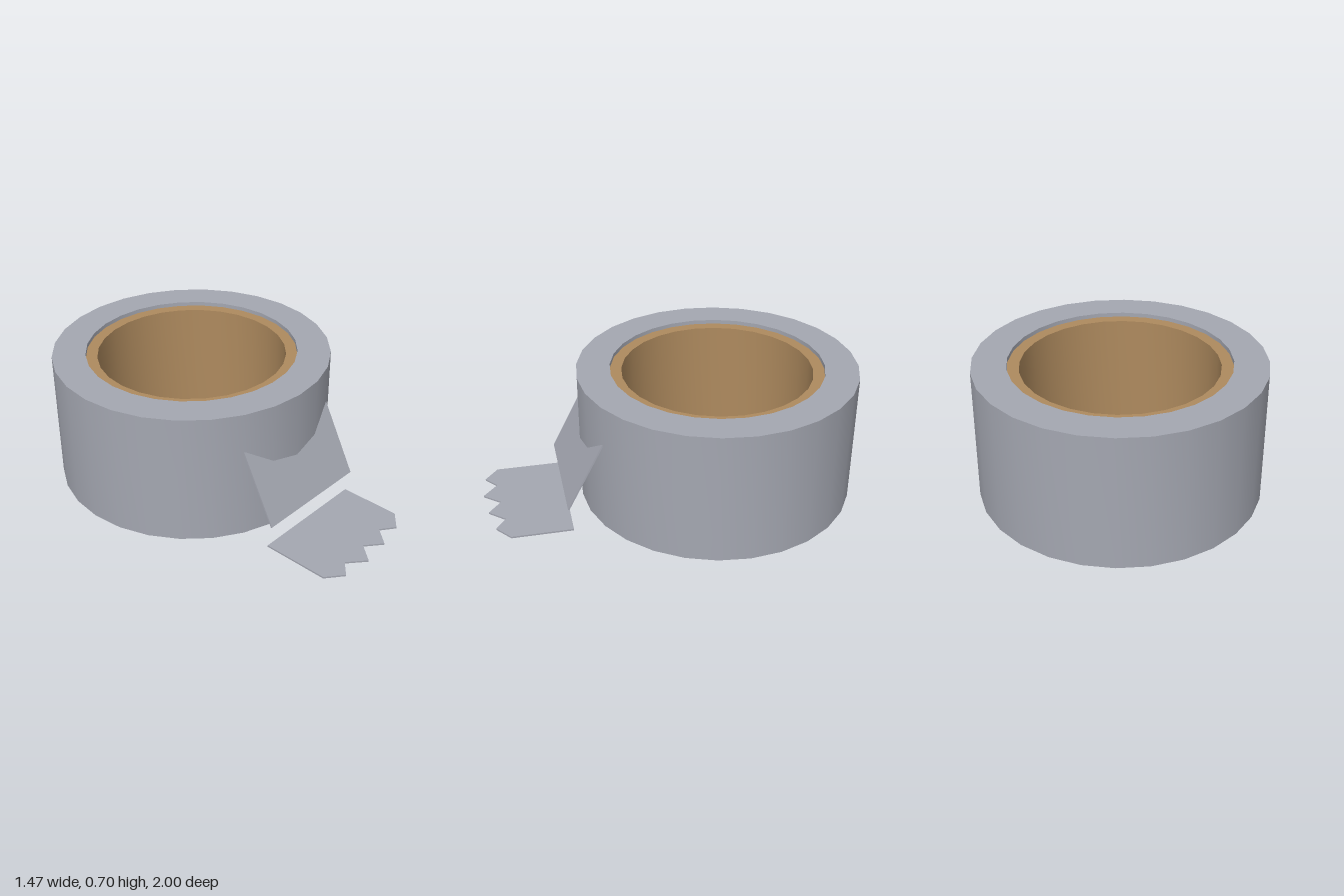
import * as THREE from 'three';
import { toCreasedNormals } from 'three/addons/utils/BufferGeometryUtils.js';

const SEGMENTS = 28;
const ROLL_Z = -0.265;

// Closed ring with a rectangular section, smooth around and sharp at the rims
function ring(name, inner, outer, y0, y1, material) {
  const profile = [[outer, y0], [outer, y1], [inner, y1], [inner, y0], [outer, y0]]
    .map(([x, y]) => new THREE.Vector2(x, y));
  const geometry = toCreasedNormals(new THREE.LatheGeometry(profile, SEGMENTS), 0.6);
  const mesh = new THREE.Mesh(geometry, material);
  mesh.name = name;
  mesh.position.z = ROLL_Z;
  return mesh;
}

export function createModel() {
  const tape = new THREE.MeshStandardMaterial({ color: 0xa4a7b1 });
  tape.name = 'tape grey';
  const cardboard = new THREE.MeshStandardMaterial({ color: 0xae8a5e });
  cardboard.name = 'cardboard brown';

  const model = new THREE.Group();
  model.name = 'tapeRoll';

  // Wound tape and the slightly recessed cardboard core
  model.add(ring('woundTape', 0.56, 0.735, 0, 0.705, tape));
  model.add(ring('cardboardCore', 0.5, 0.561, 0.022, 0.683, cardboard));

  // Loose flap leaning out from the roll
  const top = new THREE.Vector2(0.394, 0.492); // z, y
  const bottom = new THREE.Vector2(0.581, 0.132);
  const flap = new THREE.Mesh(
    new THREE.BoxGeometry(0.645, top.distanceTo(bottom), 0.008), tape);
  flap.name = 'looseFlap';
  flap.position.set(0, (top.y + bottom.y) / 2, (top.x + bottom.x) / 2);
  flap.rotation.x = Math.atan2(top.x - bottom.x, top.y - bottom.y);
  model.add(flap);

  // Torn strip lying flat, with a jagged front edge (x, z)
  const outline = [
    [-0.322, 0.56], [-0.322, 0.91], [-0.235, 0.98], [-0.165, 0.92], [-0.075, 0.998],
    [0, 0.91], [0.085, 0.98], [0.16, 0.895], [0.235, 0.95], [0.322, 0.88], [0.322, 0.56],
  ].map(([x, z]) => new THREE.Vector2(x, -z));
  const stripGeometry = new THREE.ExtrudeGeometry(new THREE.Shape(outline),
    { depth: 0.009, bevelEnabled: false });
  stripGeometry.rotateX(-Math.PI / 2);
  const strip = new THREE.Mesh(stripGeometry, tape);
  strip.name = 'tornStrip';
  model.add(strip);

  return model;
}
